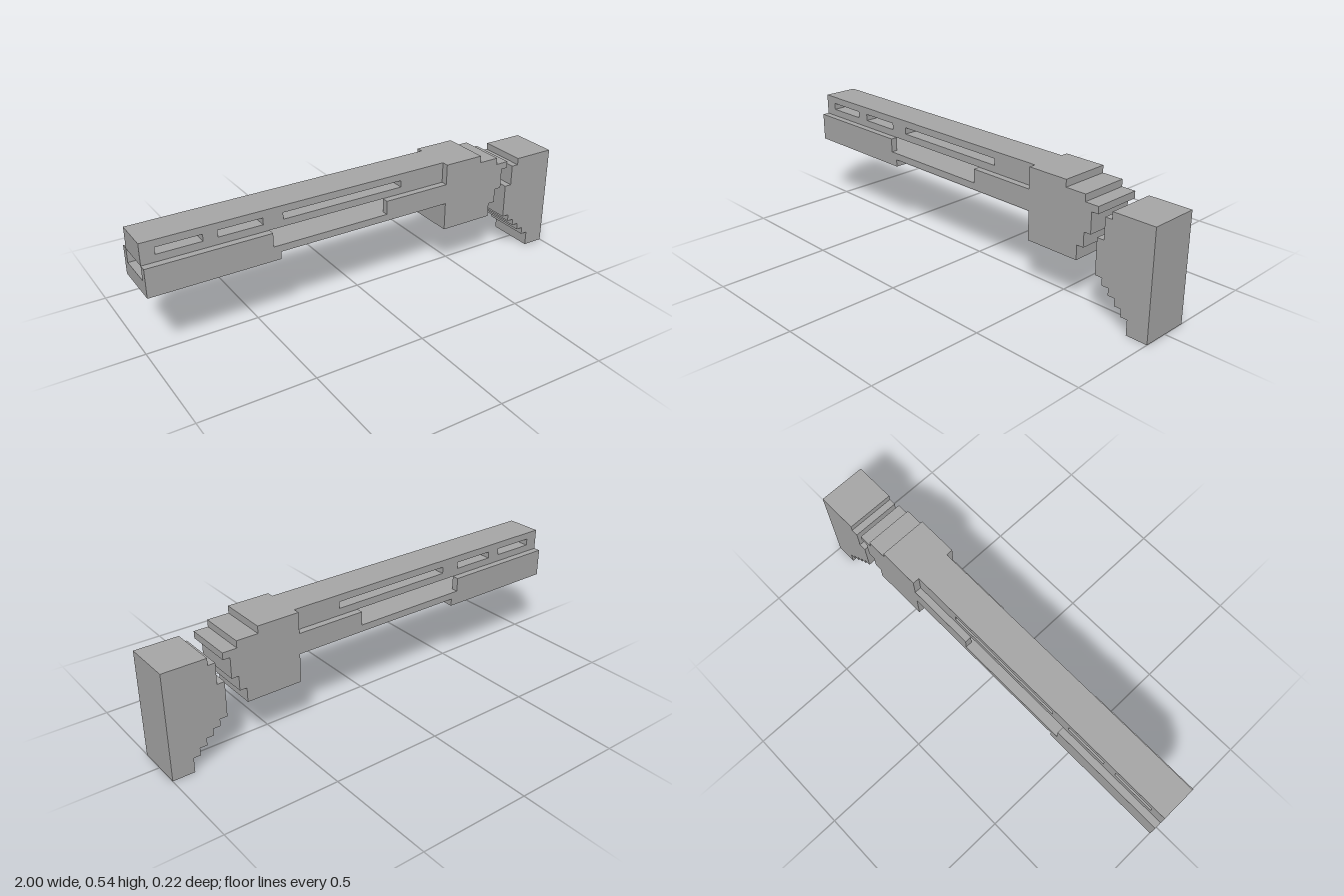
import * as THREE from 'three';

const HALF = 0.111;  // half width of the wide parts
const INNER = 0.08;  // half width of the top rail and the channel

export function createModel() {
  const model = new THREE.Group();
  const grey = new THREE.MeshStandardMaterial({ color: 0xa6a6a6 });
  grey.name = 'plainGrey';

  // Extrudes a side outline (x, y) from z0 to z1, with optional rectangular slots
  function slab(name, points, z0, z1, slots = []) {
    const shape = new THREE.Shape(points.map(([x, y]) => new THREE.Vector2(x, y)));
    for (const [x0, x1, y0, y1] of slots) {
      shape.holes.push(new THREE.Path([[x0, y0], [x0, y1], [x1, y1], [x1, y0]]
        .map(([x, y]) => new THREE.Vector2(x, y))));
    }
    const geometry = new THREE.ExtrudeGeometry(shape, { depth: z1 - z0, bevelEnabled: false });
    geometry.translate(0, 0, z0);
    const mesh = new THREE.Mesh(geometry, grey);
    mesh.name = name;
    model.add(mesh);
  }
  const rect = (x0, x1, y0, y1) => [[x0, y0], [x1, y0], [x1, y1], [x0, y1]];

  // Narrow slotted rail along the top
  slab('topRail', rect(-1, 0.395, 0.446, 0.54), -INNER, INNER, [
    [-0.94, -0.747, 0.478, 0.508],
    [-0.685, -0.49, 0.478, 0.508],
    [-0.4, 0.172, 0.478, 0.508],
  ]);

  // Lower bar, thicker at the far end
  slab('lowerBar', [
    [-1, 0.32], [-0.432, 0.32], [-0.432, 0.353], [0.395, 0.353], [0.395, 0.384], [-1, 0.384],
  ], -HALF, HALF);

  // Side walls holding the rail above the bar
  for (const [z0, z1] of [[-HALF, -INNER], [INNER, HALF]]) {
    slab('outerSideWall', rect(-1, -0.464, 0.384, 0.446), z0, z1);
    slab('innerSideWall', rect(0.08, 0.395, 0.384, 0.446), z0, z1);
  }

  // Stepped body block
  slab('bodyBlock', [
    [0.395, 0.224], [0.648, 0.224], [0.648, 0.288], [0.68, 0.288], [0.68, 0.353],
    [0.712, 0.353], [0.712, 0.446], [0.743, 0.446], [0.743, 0.477], [0.68, 0.477],
    [0.68, 0.508], [0.584, 0.508], [0.584, 0.54], [0.395, 0.54],
  ], -HALF, HALF);

  // Separate end block with a staircase underside
  slab('endBlock', [
    [0.903, 0], [1, 0], [1, 0.477], [0.808, 0.477], [0.808, 0.446], [0.776, 0.446],
    [0.776, 0.352], [0.743, 0.352], [0.743, 0.195], [0.776, 0.195], [0.776, 0.163],
    [0.808, 0.163], [0.808, 0.132], [0.84, 0.132], [0.84, 0.1], [0.872, 0.1],
    [0.872, 0.066], [0.903, 0.066],
  ], -HALF, HALF);

  return model;
}
